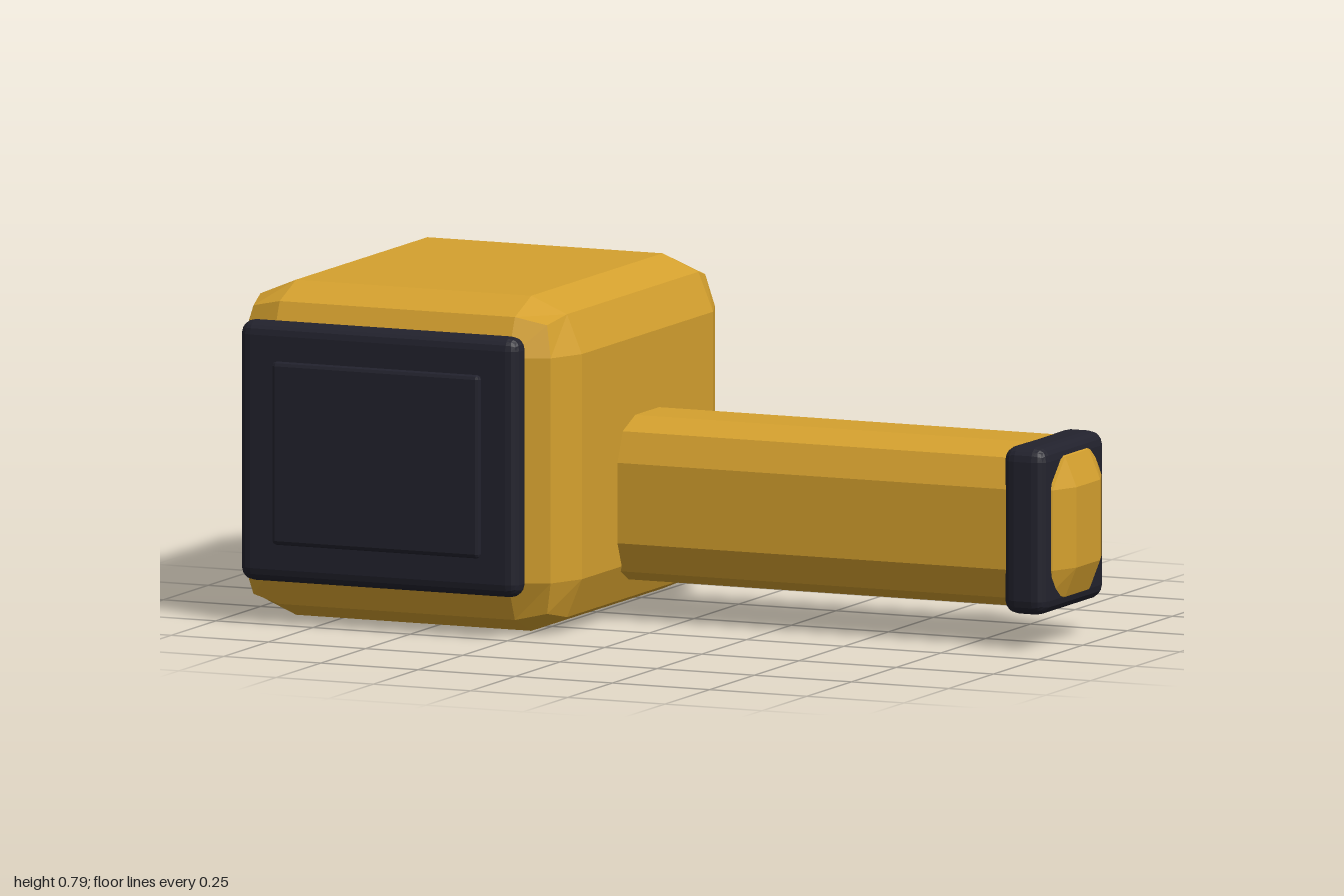
import * as THREE from 'three';
import { RoundedBoxGeometry } from 'three/addons/geometries/RoundedBoxGeometry.js';

const gold = new THREE.MeshStandardMaterial({ color: 0xd4a02e });
gold.name = 'gold';
const charcoal = new THREE.MeshStandardMaterial({ color: 0x22222d });
charcoal.name = 'charcoal';

// Box with two-facet bevels, given by its extents on each axis
function bevelBox(name, material, [x0, x1], [y0, y1], [z0, z1], radius, segments = 1) {
  const geometry = new RoundedBoxGeometry(x1 - x0, y1 - y0, z1 - z0, segments, radius);
  geometry.computeVertexNormals(); // unshared corners give flat facets
  const mesh = new THREE.Mesh(geometry, material);
  mesh.name = name;
  mesh.position.set((x0 + x1) / 2, (y0 + y1) / 2, (z0 + z1) / 2);
  return mesh;
}

export function createModel() {
  const model = new THREE.Group();
  model.name = 'hammer';
  model.add(
    // Heavy block head
    bevelBox('head', gold, [-1, -0.135], [0, 0.792], [-0.53, 0.464], 0.13),
    // Striking face: pad with a thin raised plate
    bevelBox('strikingPad', charcoal, [-0.94, -0.22], [0.1, 0.716], [0.444, 0.51], 0.032, 2),
    bevelBox('padPlate', charcoal, [-0.845, -0.31], [0.193, 0.626], [0.508, 0.53], 0.01, 1),
    // Handle runs into the head and pokes out through the collar
    bevelBox('handle', gold, [-0.4, 1], [0.088, 0.478], [-0.197, 0.135], 0.1),
    bevelBox('collar', charcoal, [0.855, 0.967], [0.083, 0.48], [-0.206, 0.145], 0.034, 2),
  );
  return model;
}
